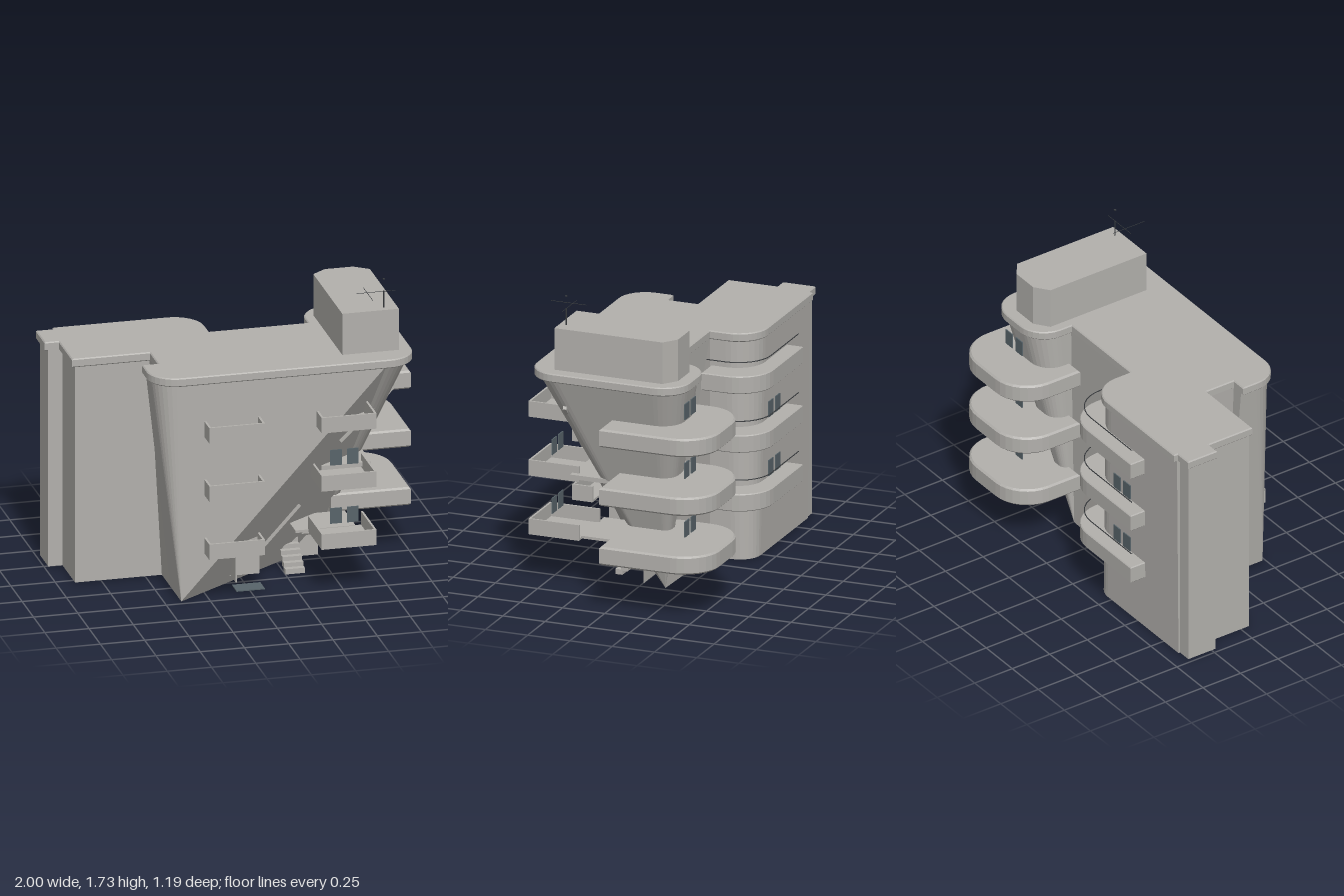
import * as THREE from 'three';

const wall = new THREE.MeshStandardMaterial({ color: 0xb2b0ac, side: THREE.DoubleSide });
wall.name = 'concrete';
const glass = new THREE.MeshStandardMaterial({ color: 0x58646a, side: THREE.DoubleSide });
glass.name = 'darkGlass';
const metal = new THREE.MeshStandardMaterial({ color: 0x3a3d40 });
metal.name = 'darkMetal';

const LEVELS = [0.27, 0.61, 0.95];

// Polygon of [x, z, radius] corners; every corner becomes n + 1 points
function rounded(corners, n = 8) {
  const out = [];
  corners.forEach(([x, z, r = 0], i) => {
    const p = new THREE.Vector2(x, z);
    const toward = (c) => new THREE.Vector2(c[0], c[1]).sub(p).setLength(r).add(p);
    const s = r ? toward(corners.at(i - 1)) : p;
    const e = r ? toward(corners[(i + 1) % corners.length]) : p;
    for (let k = 0; k <= n; k++) {
      const t = k / n, a = (1 - t) ** 2, b = 1.4142 * t * (1 - t), c = t * t, w = a + b + c;
      out.push(new THREE.Vector2((a * s.x + b * p.x + c * e.x) / w, (a * s.y + b * p.y + c * e.y) / w));
    }
  });
  return out;
}

const distinct = (pts) => pts.filter((p, i) => p.distanceTo(pts.at(i - 1)) > 1e-4);
const planShape = (pts) => new THREE.Shape(distinct(pts).map((p) => new THREE.Vector2(p.x, -p.y)));

export function createModel() {
  const model = new THREE.Group();
  const add = (name, geometry, material = wall) => {
    const mesh = new THREE.Mesh(geometry, material);
    mesh.name = name;
    model.add(mesh);
    return mesh;
  };
  // Box given by its limits
  const box = (name, x0, x1, y0, y1, z0, z1, material) =>
    add(name, new THREE.BoxGeometry(x1 - x0, y1 - y0, z1 - z0), material)
      .position.set((x0 + x1) / 2, (y0 + y1) / 2, (z0 + z1) / 2);
  // Upright prism over a rounded plan
  const prism = (name, corners, y0, y1, bevel = 0) => {
    const g = new THREE.ExtrudeGeometry(planShape(rounded(corners)), {
      depth: y1 - y0 - 2 * bevel, bevelEnabled: bevel > 0, bevelThickness: bevel,
      bevelSize: bevel, bevelOffset: -bevel, bevelSegments: 1,
    });
    g.rotateX(-Math.PI / 2).translate(0, y0 + bevel, 0);
    add(name, g);
  };
  const rod = (name, points, r) => {
    const path = new THREE.CurvePath();
    const v = points.map((p) => new THREE.Vector3(...p));
    for (let i = 1; i < v.length; i++) path.add(new THREE.LineCurve3(v[i - 1], v[i]));
    add(name, new THREE.TubeGeometry(path, v.length * 2, r, 5), metal);
  };

  // Body: the roof plan tapers to a single foot point under the right end
  const foot = [0.49, -0.15];
  const plan = [
    [[-0.55, 0.48, 0.14], [-0.41, 0.48]],
    [[0.9, 0.48, 0.15], foot],
    [[0.9, -0.39, 0.15], foot],
    [[0.49, -0.39, 0.15], foot],
    [[0.49, -0.17], foot],
    [[-0.1, -0.17], [-0.1, -0.17]],
    [[-0.1, -0.43, 0.17], [-0.1, -0.42, 0.12]],
    [[-0.9, -0.43], [-0.9, -0.42]],
    [[-0.9, -0.41], [-0.9, -0.41]],
    [[-0.98, -0.41], [-0.98, -0.41]],
    [[-0.98, -0.23], [-0.98, -0.23]],
    [[-0.9, -0.23], [-0.9, -0.23]],
    [[-0.9, 0.05], [-0.9, 0.05]],
    [[-0.48, 0.05], [-0.41, 0.05]],
    [[-0.48, 0.24], [-0.41, 0.24]],
    [[-0.55, 0.24], [-0.41, 0.24]],
  ];
  const N = 8, H = 1.27;
  const top = rounded(plan.map((c) => c[0]), N);
  const bottom = rounded(plan.map((c) => c[1]), N);
  const pos = [];
  top.forEach((t, i) => {
    const j = (i + 1) % top.length, u = top[j], b = bottom[i], d = bottom[j];
    // the leaning front triangle is made separately, with its niche
    if (i !== N && b.distanceTo(d) > 1e-4) pos.push(b.x, 0, b.y, d.x, 0, d.y, u.x, H, u.y);
    if (t.distanceTo(u) > 1e-4) pos.push(b.x, 0, b.y, u.x, H, u.y, t.x, H, t.y);
  });
  const bodyGeo = new THREE.BufferGeometry();
  bodyGeo.setAttribute('position', new THREE.Float32BufferAttribute(pos, 3));
  bodyGeo.computeVertexNormals();
  add('bodyWalls', bodyGeo);
  add('underside', new THREE.ShapeGeometry(planShape(bottom)).rotateX(-Math.PI / 2));

  // Leaning front wall with an entrance niche
  const slope = 1.16 / H;
  const leanZ = (x, y) => 0.48 - 0.7 * (x + 0.41 - slope * y);
  const V = (x, y) => new THREE.Vector2(x, y);
  const lean = new THREE.Shape([V(-0.41, 0), V(0.49, 0), V(0.75, H)]);
  lean.holes.push(new THREE.Path([V(-0.08, 0.06), V(-0.08, 0.285), V(0.07, 0.285), V(0.07, 0.222)]));
  const leanGeo = new THREE.ShapeGeometry(lean);
  const lp = leanGeo.attributes.position;
  for (let i = 0; i < lp.count; i++) lp.setZ(i, leanZ(lp.getX(i), lp.getY(i)));
  leanGeo.computeVertexNormals();
  add('leaningWall', leanGeo);
  box('nicheBack', -0.09, 0.08, 0.05, 0.295, 0.28, 0.288);
  box('nicheSide', -0.088, -0.08, 0.06, 0.285, 0.288, 0.42);
  box('entranceMat', -0.08, 0.08, 0, 0.006, 0.31, 0.41, glass);

  // Narrow ledge running up the leaning wall
  [[0.07, 0.14, 0.32, 0.41], [0.52, 0.8, 0.86, 1.1]].forEach(([x0, y0, x1, y1]) => {
    const a = new THREE.Vector3(x0, y0, leanZ(x0, y0)), b = new THREE.Vector3(x1, y1, leanZ(x1, y1));
    const ledge = add('ledge', new THREE.BoxGeometry(0.02, 0.02, a.distanceTo(b)));
    ledge.position.copy(a).add(b).multiplyScalar(0.5);
    ledge.lookAt(b);
  });

  // Roof slab and roof house
  prism('roofSlab', [
    [-0.57, 0.5, 0.16], [0.925, 0.5, 0.16], [0.925, -0.41, 0.16], [0.475, -0.41, 0.16], [0.475, -0.175],
    [-0.085, -0.175], [-0.085, -0.45, 0.17], [-0.9, -0.45], [-0.9, -0.425], [-1, -0.425], [-1, -0.23],
    [-0.92, -0.23], [-0.92, 0.06], [-0.48, 0.06], [-0.48, 0.24], [-0.57, 0.24],
  ], 1.26, 1.31, 0.006);
  prism('roofHouse', [
    [0.53, 0.36], [0.85, 0.36], [0.85, -0.28], [0.77, -0.34], [0.61, -0.34], [0.53, -0.28],
  ], 1.31, 1.55);

  // Aerial
  rod('aerialMast', [[0.775, 1.55, 0.32], [0.775, 1.65, 0.32]], 0.004);
  rod('aerialBoom', [[0.62, 1.645, 0.32], [0.84, 1.645, 0.32]], 0.0015);
  rod('aerialBar', [[0.68, 1.645, 0.24], [0.68, 1.645, 0.45]], 0.0015);
  box('aerialTip', 0.77, 0.78, 1.715, 1.72, 0.315, 0.325, metal);

  // Pair of panes
  const panes = (x, y, z) => [0, 0.095].forEach((dx) =>
    box('window', x + dx, x + dx + 0.065, y, y + 0.09, z - 0.003, z + 0.003, glass));

  LEVELS.forEach((y, level) => {
    // Front balconies: floor and parapet
    [[-0.28, 0.035, 0.47], [0.355, 0.665, 0.29]].forEach(([x0, x1, z0]) => {
      const h = y + 0.09, t = 0.012;
      box('balconyFloor', x0, x1, y, y + t, z0, 0.59);
      box('balconyFront', x0, x1, y, h, 0.59 - t, 0.59);
      box('balconySide', x0, x0 + t, y, h, z0, 0.59);
      box('balconySide', x1 - t, x1, y, h, z0, 0.59);
    });
    if (level < 2) panes(0.43, y + 0.107, 0.482);

    // Large wraparound balconies at the right end
    prism('wrapBalcony', [
      [0.55, 0.035], [1, 0.035], [1, -0.595, 0.21], [0.395, -0.595, 0.21], [0.395, -0.175], [0.55, -0.175],
    ], y, y + 0.105, 0.01);
    panes(0.64, y + 0.15, -0.39);

    // Curved balconies on the back wing, each with a thin rail
    const b = y + 0.055;
    prism('rearBalcony', [
      [-0.11, -0.175], [0.04, -0.175], [0.04, -0.52, 0.2], [-0.585, -0.52], [-0.585, -0.42], [-0.11, -0.42, 0.16],
    ], b, b + 0.1, 0.005);
    const curve = rounded([[0.02, -0.2], [0.02, -0.5, 0.19], [-0.57, -0.5]])
      .slice(N, 2 * N + 3);
    rod('rearRail', distinct(curve).map((p) => [p.x, b + 0.175, p.y]), 0.003);
    if (level < 2) panes(-0.46, b + 0.11, -0.435);
  });

  // Terraces joining the front balconies to the leaning wall
  box('terrace', 0.28, 0.62, 0.27, 0.285, 0.06, 0.3);
  box('terrace', 0.42, 0.7, 0.635, 0.66, 0.06, 0.33);

  // Entrance stair in two flights with a landing
  const steps = 7, rise = 0.17 / steps, run = 0.22 / steps;
  for (let i = 0; i < steps; i++) {
    const z = 0.2 - i * run, y = (i + 1) * rise;
    box('lowerStep', 0.25, 0.36, y - 0.03, y, z - run - 0.01, z);
    if (i < 5) {
      const z2 = -0.02 + i * run;
      box('upperStep', 0.37, 0.46, 0.16 + y - 0.03, 0.16 + y, z2, z2 + run + 0.01);
    }
  }
  box('landing', 0.25, 0.48, 0.14, 0.17, -0.08, -0.02);
  const cheek = new THREE.Shape([V(0.24, 0.01), V(0.49, 0.01), V(0.49, 0.13), V(0.33, 0.13), V(0.24, 0.07)]);
  add('stairWall', new THREE.ShapeGeometry(cheek)).position.z = -0.02;

  return model;
}
